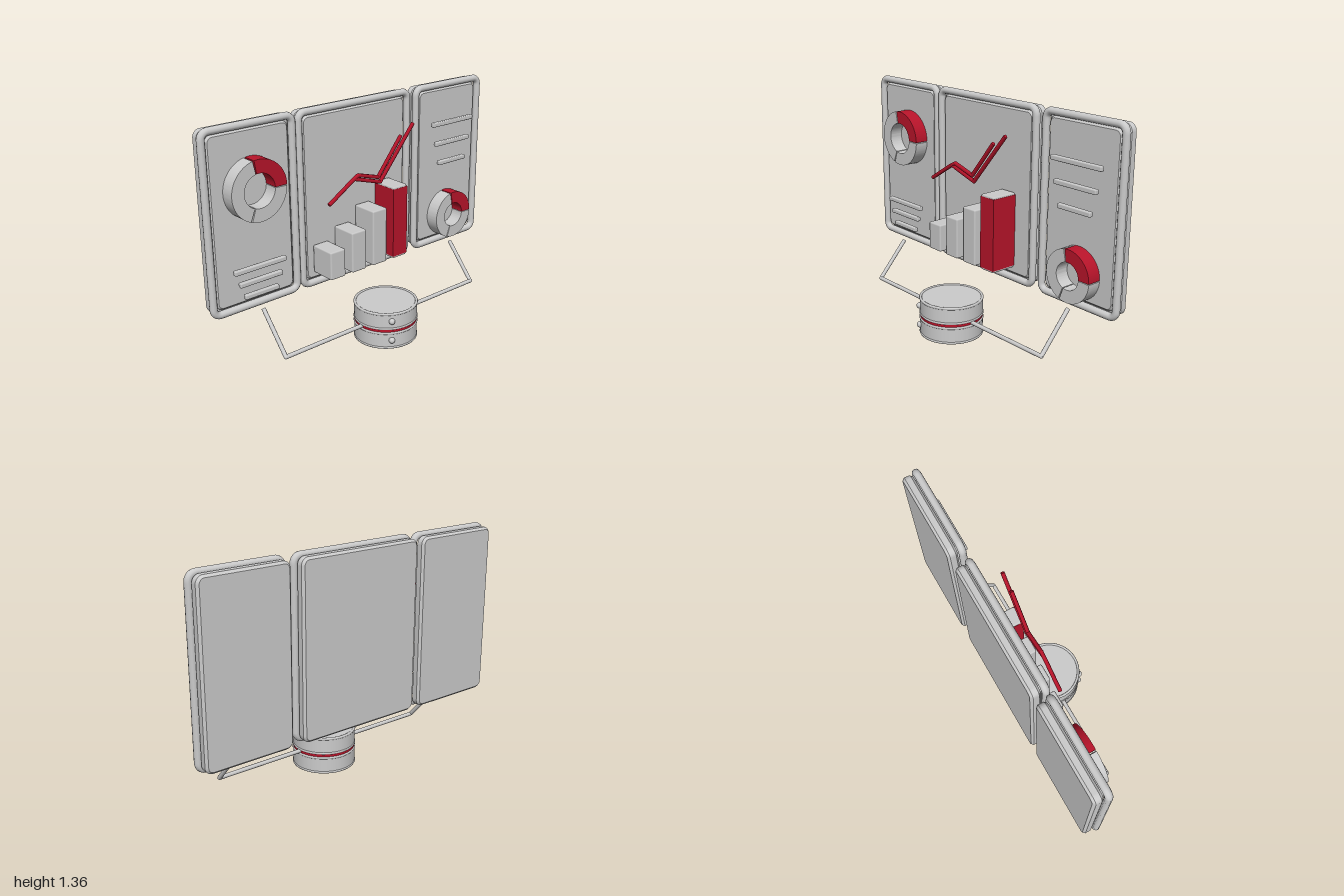
import * as THREE from 'three';
import { toCreasedNormals } from 'three/addons/utils/BufferGeometryUtils.js';
import { RoundedBoxGeometry } from 'three/addons/geometries/RoundedBoxGeometry.js';

const grey = new THREE.MeshStandardMaterial({ color: 0xcccccc });
const red = new THREE.MeshStandardMaterial({ color: 0xb8142a });

const FRAME_Z = -0.181;
const SCREEN_FRONT = -0.178;

function add(parent, name, geometry, material, x = 0, y = 0, z = 0) {
  const mesh = new THREE.Mesh(geometry, material);
  mesh.name = name;
  mesh.position.set(x, y, z);
  parent.add(mesh);
  return mesh;
}

function group(parent, name) {
  const g = new THREE.Group();
  g.name = name;
  parent.add(g);
  return g;
}

// Rounded rectangle centred on the origin
function roundedRect(w, h, r) {
  const s = new THREE.Shape();
  const x = w / 2 - r, y = h / 2 - r;
  s.moveTo(-x, -h / 2);
  s.lineTo(x, -h / 2);
  s.absarc(x, -y, r, -Math.PI / 2, 0);
  s.lineTo(w / 2, y);
  s.absarc(x, y, r, 0, Math.PI / 2);
  s.lineTo(-x, h / 2);
  s.absarc(-x, y, r, Math.PI / 2, Math.PI);
  s.lineTo(-w / 2, -y);
  s.absarc(-x, -y, r, Math.PI, Math.PI * 1.5);
  return s;
}

// Lets a tube follow a flat outline
class OutlineCurve extends THREE.Curve {
  constructor(shape) {
    super();
    this.shape = shape;
    this.arcLengthDivisions = 600;
  }
  getPoint(t, target = new THREE.Vector3()) {
    const p = this.shape.getPoint(t);
    return target.set(p.x, p.y, 0);
  }
}

// Chamfered plate of full size w x h between two depths
function plate(parent, name, w, h, back, front, bevel) {
  const geo = new THREE.ExtrudeGeometry(roundedRect(w - 2 * bevel, h - 2 * bevel, 0.03), {
    depth: front - back - 2 * bevel, bevelSize: bevel, bevelThickness: bevel, bevelSegments: 1, curveSegments: 6,
  });
  add(parent, name, toCreasedNormals(geo, 0.5), grey, 0, 0, back + bevel);
}

// Display: round tube frame around a thin screen, with a back slab
function display(parent, name, x0, x1) {
  const g = group(parent, name);
  const y0 = 0.321, y1 = 1.358, r = 0.021;
  const w = x1 - x0, h = y1 - y0;
  g.position.set((x0 + x1) / 2, (y0 + y1) / 2, 0);
  const path = new OutlineCurve(roundedRect(w - 2 * r, h - 2 * r, 0.04));
  add(g, 'frame', new THREE.TubeGeometry(path, 260, r, 12, true), grey, 0, 0, FRAME_Z);
  plate(g, 'screen', w - 0.086, h - 0.086, -0.206, SCREEN_FRONT, 0.011);
  plate(g, 'backSlab', w - 0.036, h - 0.036, -0.264, -0.205, 0.013);
}

// Ring chart made of three separate wedges
function ringChart(parent, x, y, outer, inner) {
  const g = group(parent, 'ringChart');
  g.position.set(x, y, SCREEN_FRONT);
  for (const [from, to, material] of [[0, 99, red], [102, 248, grey], [251, 358, grey]]) {
    const a = THREE.MathUtils.degToRad(from), b = THREE.MathUtils.degToRad(to);
    const s = new THREE.Shape();
    s.absarc(0, 0, outer, a, b, false);
    s.absarc(0, 0, inner, b, a, true);
    s.closePath();
    const geo = new THREE.ExtrudeGeometry(s, { depth: 0.083, bevelEnabled: false, curveSegments: 24 });
    add(g, 'ringSegment', toCreasedNormals(geo, 0.5), material);
  }
}

// Bent trend line with rounded joints
function trendLine(parent, points) {
  const g = group(parent, 'trendLine');
  const pts = points.map(([x, y]) => new THREE.Vector3(x, y, -0.039));
  pts.forEach((p, i) => {
    if (i === 0) return;
    rod(g, 'trendSegment', pts[i - 1], p, 0.0115, red, 6);
    if (i < pts.length - 1) add(g, 'trendJoint', new THREE.SphereGeometry(0.0115, 8, 6), red, p.x, p.y, p.z);
  });
}

// Straight round rod between two points
function rod(parent, name, a, b, r, material, sides) {
  const dir = b.clone().sub(a);
  const mesh = add(parent, name, new THREE.CylinderGeometry(r, r, dir.length(), sides), material);
  mesh.position.copy(a).add(b).multiplyScalar(0.5);
  mesh.quaternion.setFromUnitVectors(new THREE.Vector3(0, 1, 0), dir.normalize());
}

export function createModel() {
  const model = new THREE.Group();
  model.name = 'dashboardDisplay';

  // Three displays
  display(model, 'rightDisplay', -1, -0.419);
  display(model, 'centreDisplay', -0.419, 0.404);
  display(model, 'leftDisplay', 0.434, 1);

  // Ring charts on the outer displays
  ringChart(model, -0.71, 1.001, 0.168, 0.094);
  ringChart(model, 0.717, 0.515, 0.148, 0.076);

  // Caption strips: centre x, y, length
  const strips = [
    [-0.709, 0.575, 0.325], [-0.709, 0.499, 0.27], [-0.709, 0.423, 0.215],
    [0.717, 1.114, 0.34], [0.717, 0.991, 0.285], [0.717, 0.868, 0.225],
  ];
  for (const [x, y, length] of strips) {
    add(model, 'captionStrip', new RoundedBoxGeometry(length, 0.028, 0.028, 1, 0.007), grey, x, y, -0.131);
  }

  // Bar chart, the last column with a red sleeve
  const bottom = 0.405, front = -0.016, depth = front - SCREEN_FRONT;
  [0.572, 0.647, 0.738, 0.847].forEach((top, i) => {
    const column = group(model, 'chartColumn');
    column.position.set(-0.275 + i * 0.154, (top + bottom) / 2, front - depth / 2);
    add(column, 'columnBody', new RoundedBoxGeometry(0.105, top - bottom, depth, 1, 0.01), grey);
    if (i === 3) add(column, 'redSleeve', new THREE.BoxGeometry(0.107, top - bottom - 0.026, depth + 0.002), red);
  });

  // Trend lines
  trendLine(model, [[-0.314, 0.843], [-0.138, 0.953], [0.052, 0.895], [0.3, 1.191]]);
  trendLine(model, [[-0.138, 0.953], [-0.108, 0.968], [0.037, 0.926], [0.207, 1.136]]);

  // Round base: two drums with rims and a red band between
  const base = group(model, 'base');
  base.position.set(-0.008, 0, 0.078);
  for (const y of [0.053, 0.172]) {
    add(base, 'drum', new THREE.CylinderGeometry(0.182, 0.182, 0.093, 64), grey, 0, y, 0);
    for (const side of [-1, 1]) {
      const rim = new THREE.TorusGeometry(0.178, 0.008, 8, 64).rotateX(Math.PI / 2);
      add(base, 'rim', rim, grey, 0, y + side * 0.045, 0);
    }
    // Control knob on the front of each drum
    add(base, 'knob', new THREE.SphereGeometry(0.018, 16, 12), grey, -0.094, y + 0.003, 0.159);
  }
  add(base, 'redBand', new THREE.CylinderGeometry(0.18, 0.18, 0.03, 64), red, 0, 0.1125, 0);

  // Mirrored support arms
  for (const side of [-1, 1]) {
    const arm = group(model, side > 0 ? 'leftArm' : 'rightArm');
    const elbow = new THREE.Vector3(side * 0.714, 0.114, 0.075);
    rod(arm, 'crossRod', new THREE.Vector3(side * 0.15, 0.114, 0.075), elbow, 0.012, grey, 12);
    rod(arm, 'tiltedRod', elbow, new THREE.Vector3(side * 0.714, 0.328, -0.117), 0.012, grey, 12);
    add(arm, 'elbow', new THREE.SphereGeometry(0.012, 12, 8), grey, elbow.x, elbow.y, elbow.z);
  }
  return model;
}
